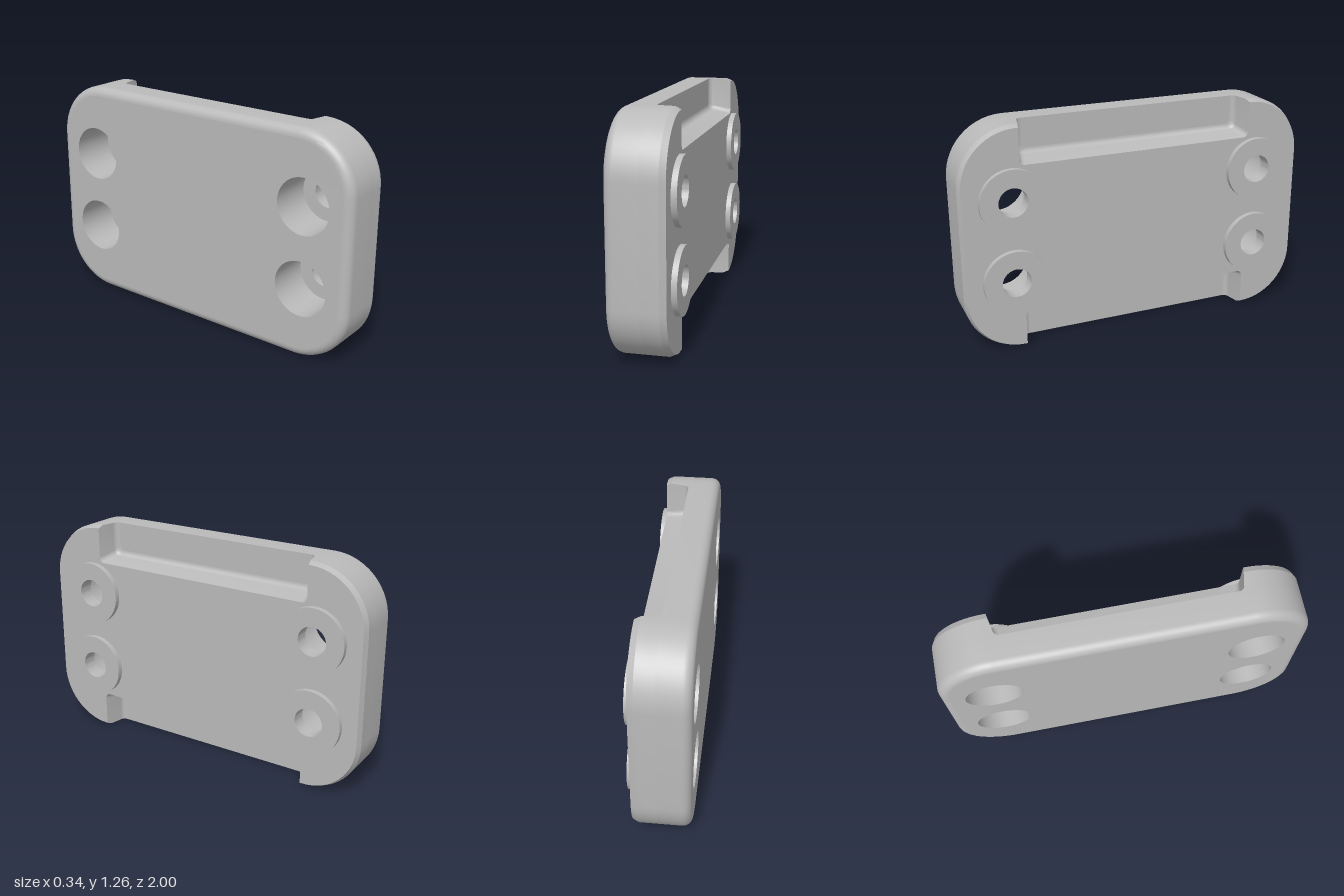
import * as THREE from 'three';
import { toCreasedNormals } from 'three/addons/utils/BufferGeometryUtils.js';

// Plate is drawn in XY, thickness along Z, then turned to face +x
const W = 1, H = 0.63, R = 0.32;            // half width, half height, corner radius
const BACK = -0.17, FLOOR = 0.005, FACE = 0.137, TOP = 0.167;
const FILLET = 0.05, CHAMFER = 0.014;
const NOTCH_W = 0.67, NOTCH_Y = 0.415, NOTCH_R = 0.03;
const HOLE_X = 0.72, HOLE_Y = 0.2275, BORE = 0.08, COUNTERBORE = 0.155, BOSS = 0.18;

const steps = (n) => Array.from({ length: n + 1 }, (_, i) => (i / n) * Math.PI / 2);

// Upper edge recess, drawn from right to left; draft shrinks it
function notchPoints(inset, draft) {
  const right = [new THREE.Vector2(NOTCH_W - draft, H - inset)];
  const cx = NOTCH_W - draft - NOTCH_R, cy = NOTCH_Y + draft + NOTCH_R;
  for (const t of steps(6)) {
    right.push(new THREE.Vector2(cx + NOTCH_R * Math.cos(t), cy - NOTCH_R * Math.sin(t)));
  }
  const left = right.map((p) => new THREE.Vector2(-p.x, p.y)).reverse();
  return [...right, ...left];
}

// Counter-clockwise plate outline; draft === null leaves the edges unnotched
function outline(inset, draft = null) {
  const half = [];
  const r = R - inset;
  for (const t of steps(14)) {
    half.push(new THREE.Vector2(W - R + r * Math.cos(t), H - R + r * Math.sin(t)));
  }
  if (draft !== null) half.push(...notchPoints(inset, draft));
  for (const t of steps(14)) {
    half.push(new THREE.Vector2(-(W - R) - r * Math.sin(t), H - R + r * Math.cos(t)));
  }
  return [...half, ...half.map((p) => new THREE.Vector2(-p.x, -p.y))];
}

// Side wall through a list of { z, pts } sections
function loft(sections) {
  const n = sections[0].pts.length;
  const pos = [], index = [];
  for (const { z, pts } of sections) for (const p of pts) pos.push(p.x, p.y, z);
  for (let j = 0; j < sections.length - 1; j++) {
    for (let k = 0; k < n; k++) {
      const a = j * n + k, b = j * n + (k + 1) % n;
      index.push(a, b, b + n, a, b + n, a + n);
    }
  }
  const g = new THREE.BufferGeometry();
  g.setAttribute('position', new THREE.Float32BufferAttribute(pos, 3));
  g.setIndex(index);
  return toCreasedNormals(g, 0.4);
}

const holeCentres = [];
for (const sx of [1, -1]) for (const sy of [1, -1]) holeCentres.push([sx * HOLE_X, sy * HOLE_Y]);

function cap(pts, holeRadius) {
  const shape = new THREE.Shape(pts);
  for (const [x, y] of holeCentres) {
    shape.holes.push(new THREE.Path().absarc(x, y, holeRadius, 0, Math.PI * 2, true));
  }
  return new THREE.ShapeGeometry(shape, 32);
}

export function createModel() {
  const model = new THREE.Group();
  model.name = 'mountingPlate';
  const plate = new THREE.Group();
  plate.name = 'plate';
  plate.rotation.y = Math.PI / 2;
  plate.position.y = H;
  model.add(plate);

  const grey = new THREE.MeshStandardMaterial({ color: 0xbababa });
  grey.name = 'grey';
  const add = (name, geometry) => {
    const mesh = new THREE.Mesh(geometry, grey);
    mesh.name = name;
    plate.add(mesh);
    return mesh;
  };

  // Lower wall with rounded back edge
  const lower = steps(8).map((t) => ({
    z: BACK + FILLET * (1 - Math.cos(t)),
    pts: outline(FILLET * (1 - Math.sin(t))),
  }));
  lower.push({ z: FLOOR, pts: outline(0) });
  add('lowerWall', loft(lower));

  // Upper wall with drafted, filleted recesses and chamfered front edge
  const f = 0.03, draft = 0.022;
  const upper = steps(6).reverse().map((t) => ({
    z: FLOOR + f * (1 - Math.sin(t)),
    pts: outline(0, draft + f * (1 - Math.cos(t))),
  }));
  upper.push({ z: 0.105, pts: outline(0, 0.007) });
  upper.push({ z: FACE, pts: outline(CHAMFER, 0) });
  add('upperWall', loft(upper));

  // Front and back faces
  add('frontFace', cap(outline(CHAMFER, 0), BORE + 0.02)).position.z = FACE;
  const back = add('backFace', cap(outline(FILLET), COUNTERBORE));
  back.rotation.y = Math.PI;
  back.position.z = BACK;

  // Recess floors
  for (const side of [0, 1]) {
    const floor = add(side ? 'lowerRecessFloor' : 'upperRecessFloor',
      new THREE.ShapeGeometry(new THREE.Shape(notchPoints(0, draft + f))));
    floor.position.z = FLOOR;
    floor.rotation.z = side * Math.PI;
  }

  // Raised bosses with stepped bores
  const profile = [
    [BOSS, FACE], [BOSS, TOP], [BORE, TOP], [BORE, 0.08], [COUNTERBORE, 0.08], [COUNTERBORE, BACK],
  ].map(([r, y]) => new THREE.Vector2(r, y));
  const bossGeometry = toCreasedNormals(new THREE.LatheGeometry(profile, 64).rotateX(Math.PI / 2), 0.5);
  for (const [x, y] of holeCentres) add('bossAndBore', bossGeometry).position.set(x, y, 0);

  return model;
}
